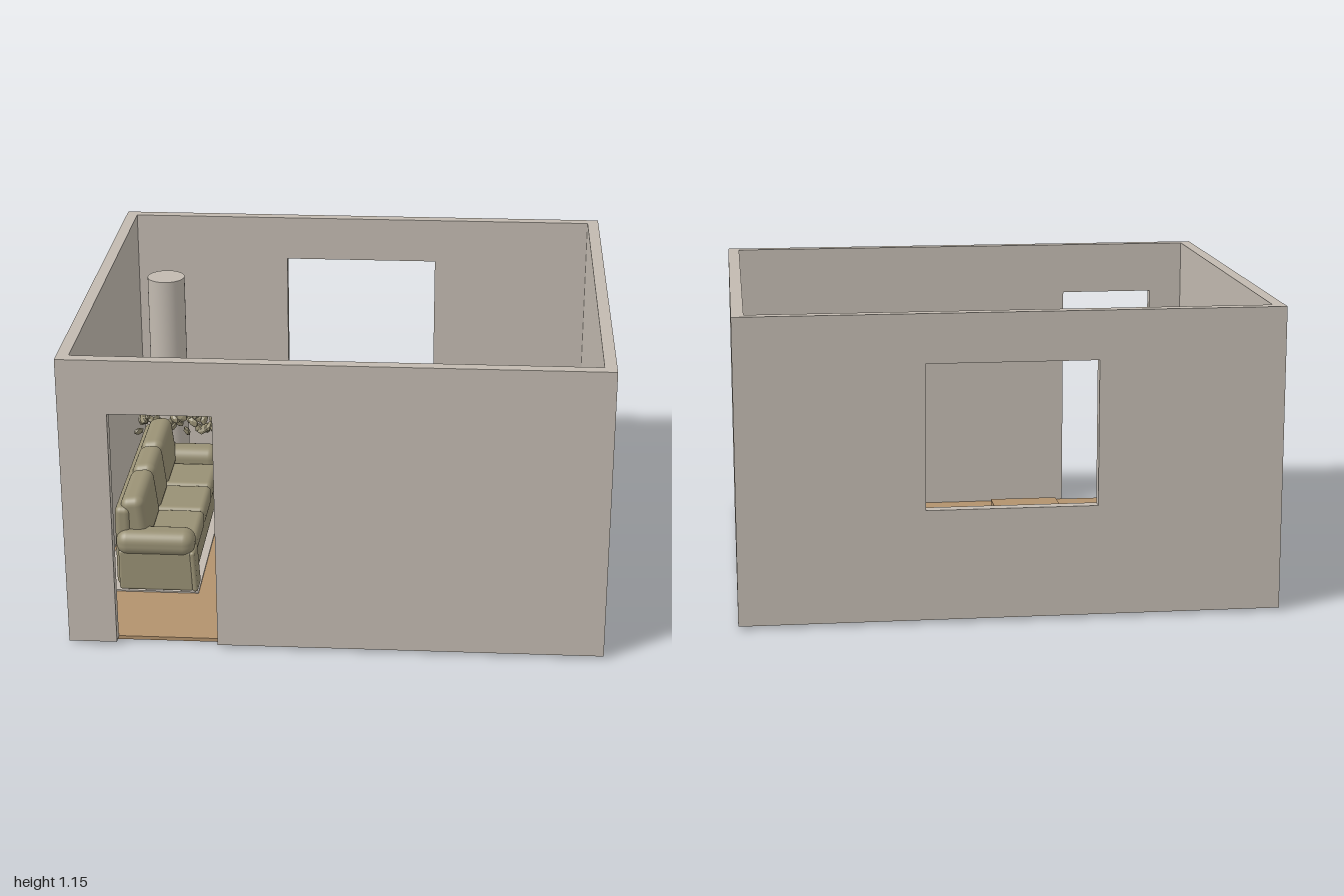
import * as THREE from 'three';
import { RoundedBoxGeometry } from 'three/addons/geometries/RoundedBoxGeometry.js';

export function createModel() {
  const model = new THREE.Group();
  model.name = 'livingRoom';

  const mat = (name, color) => {
    const m = new THREE.MeshStandardMaterial({ color });
    m.name = name;
    return m;
  };
  const plaster = mat('plaster', 0xc2bab0);
  const wood = mat('wood', 0xb2926d);
  const fabric = mat('fabric', 0x989074);

  const add = (parent, name, geometry, material) => {
    const mesh = new THREE.Mesh(geometry, material);
    mesh.name = name;
    parent.add(mesh);
    return mesh;
  };
  // Boxes given by their limits on each axis
  const place = (mesh, x, y, z) => {
    mesh.position.set((x[0] + x[1]) / 2, (y[0] + y[1]) / 2, (z[0] + z[1]) / 2);
    return mesh;
  };
  const box = (parent, name, x, y, z, material) =>
    place(add(parent, name, new THREE.BoxGeometry(x[1] - x[0], y[1] - y[0], z[1] - z[0]), material), x, y, z);
  const cushion = (parent, name, x, y, z, r) =>
    place(add(parent, name, new RoundedBoxGeometry(x[1] - x[0], y[1] - y[0], z[1] - z[0], 4, r), fabric), x, y, z);

  // Room shell
  const W = 1, D = 0.865, T = 0.045, Y0 = 0.012, Y1 = 1.147;
  box(model, 'floor', [-0.953, 0.953], [0, 0.014], [-0.82, 0.82], wood);

  const polygon = (points, Type) => new Type(points.map(([x, y]) => new THREE.Vector2(x, y)));
  const wall = (name, shape, z) => {
    const geometry = new THREE.ExtrudeGeometry(shape, { depth: T, bevelEnabled: false });
    add(model, name, geometry, plaster).position.z = z;
  };
  // Front wall with a doorway open at the bottom
  wall('frontWall', polygon([
    [-W, Y0], [-0.82, Y0], [-0.82, 0.94], [-0.44, 0.94], [-0.44, Y0], [W, Y0], [W, Y1], [-W, Y1],
  ], THREE.Shape), D - T);
  // Back wall with a window opening
  const back = polygon([[-W, Y0], [W, Y0], [W, Y1], [-W, Y1]], THREE.Shape);
  back.holes.push(polygon([[-0.315, 0.425], [-0.315, 0.965], [0.315, 0.965], [0.315, 0.425]], THREE.Path));
  wall('backWall', back, -D);
  for (const [name, s] of [['leftWall', 1], ['rightWall', -1]]) {
    const x = [s * W, s * (W - T)].sort((a, b) => a - b);
    box(model, name, x, [Y0, Y1], [-D + T, D - T], plaster);
  }

  // Column, coffee table and the plinth below the sofa
  add(model, 'column', new THREE.CylinderGeometry(0.078, 0.078, 0.908, 40), plaster)
    .position.set(-0.82, 0.466, -0.685);
  box(model, 'coffeeTable', [-0.325, -0.055], [0.013, 0.17], [-0.25, 0.25], wood);
  box(model, 'plinth', [-0.945, -0.562], [0.013, 0.02], [-0.5, 0.46], plaster);

  // Sofa facing the room, with its back along the right wall
  const sofa = new THREE.Group();
  sofa.name = 'sofa';
  model.add(sofa);
  cushion(sofa, 'sofaBase', [-0.87, -0.585], [0.03, 0.17], [-0.42, 0.47], 0.015);
  cushion(sofa, 'backFrame', [-0.885, -0.82], [0.03, 0.37], [-0.4, 0.45], 0.025);
  const seams = [-0.32, -0.1, 0.135, 0.375];
  for (let i = 0; i < 3; i++) {
    const z = [seams[i] + 0.002, seams[i + 1] - 0.002];
    cushion(sofa, 'seatCushion', [-0.79, -0.573], [0.15, 0.225], z, 0.022);
    const zBack = [z[0] - (i === 0 ? 0.07 : 0), z[1] + (i === 2 ? 0.07 : 0)];
    cushion(sofa, 'backCushion', [-0.855, -0.76], [0.2, 0.405], zBack, 0.035).rotation.z = 0.12;
  }
  for (const z of [[-0.435, -0.322], [0.377, 0.49]]) {
    cushion(sofa, 'armPanel', [-0.87, -0.578], [0.03, 0.2], [z[0] + 0.012, z[1] - 0.012], 0.012);
    cushion(sofa, 'armRoll', [-0.88, -0.573], [0.175, 0.277], z, 0.045);
    // Loose cloth hanging at the front corners
    const cloth = cushion(sofa, 'skirt', [-0.588, -0.566], [0.03, 0.2], [z[0] + 0.008, z[1] - 0.008], 0.01);
    cloth.rotation.z = 0.06;
  }
  for (const x of [-0.85, -0.61]) {
    for (const z of [-0.38, 0.43]) box(sofa, 'foot', [x - 0.015, x + 0.015], [0.02, 0.035], [z - 0.015, z + 0.015], fabric);
  }

  // Row of crumpled, faceted leaves over the far arm
  let seed = 7;
  const rand = () => (seed = (seed * 16807) % 2147483647) / 2147483647;
  const leaf = new THREE.IcosahedronGeometry(0.026, 0);
  const foliage = new THREE.Group();
  foliage.name = 'foliage';
  model.add(foliage);
  for (let i = 0; i < 34; i++) {
    const mesh = add(foliage, 'leaf', leaf, fabric);
    mesh.position.set(-0.92 + 0.32 * (i / 33), 0.315 + 0.075 * rand(), -0.475 + 0.055 * rand());
    mesh.rotation.set(rand() * 3, rand() * 3, rand() * 3);
    mesh.scale.set(1.1, 0.75, 0.5);
  }
  return model;
}
